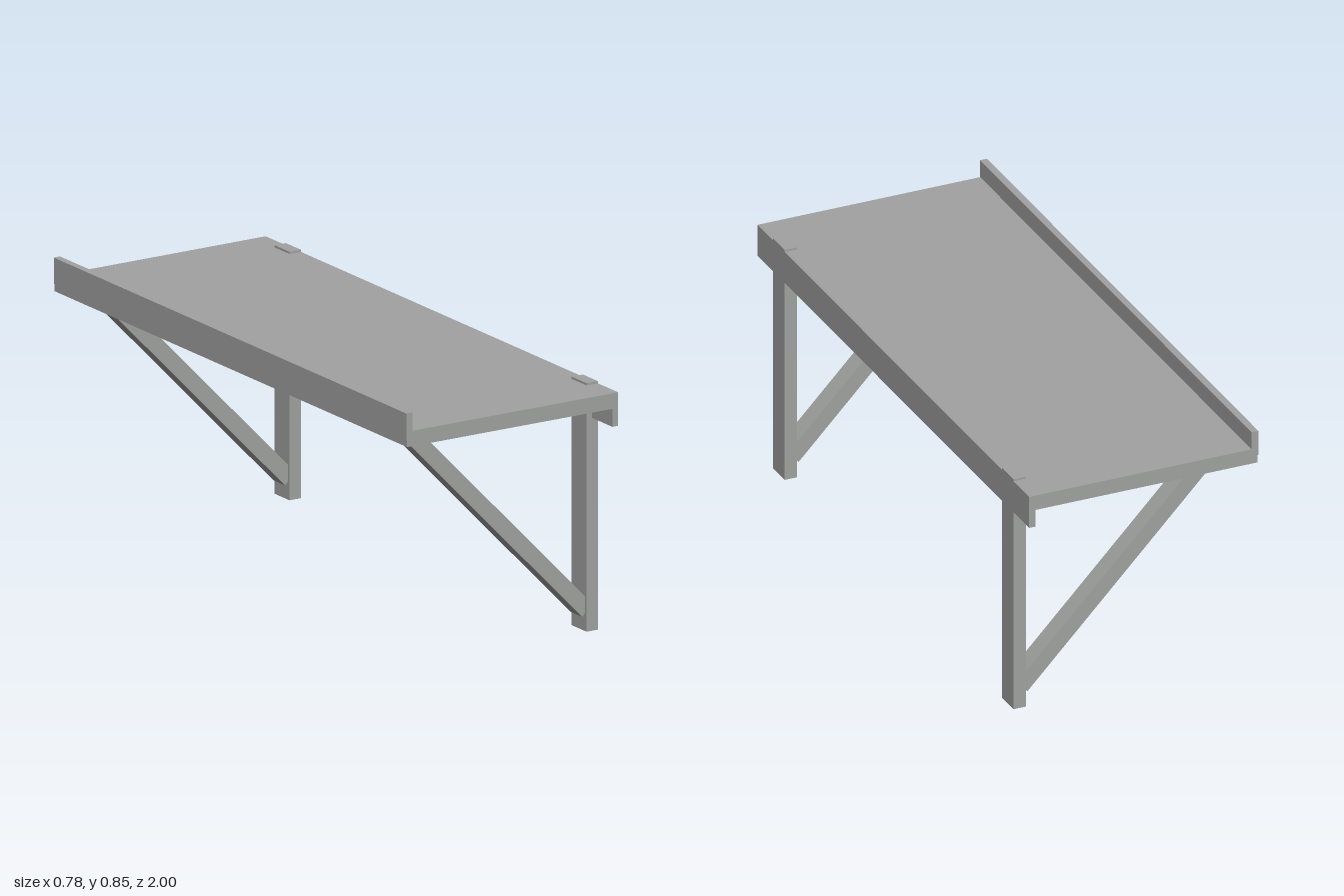
import * as THREE from 'three';

export function createModel() {
  const model = new THREE.Group();
  model.name = 'foldingTable';
  const grey = new THREE.MeshStandardMaterial({ color: 0xa0a2a0 });
  grey.name = 'grey';

  // Box given by its lower and upper corner
  function box(name, [x0, y0, z0], [x1, y1, z1]) {
    const mesh = new THREE.Mesh(new THREE.BoxGeometry(x1 - x0, y1 - y0, z1 - z0), grey);
    mesh.position.set((x0 + x1) / 2, (y0 + y1) / 2, (z0 + z1) / 2);
    mesh.name = name;
    model.add(mesh);
    return mesh;
  }

  // Top board with a raised lip on one long edge and an apron on the other
  box('tableTop', [-0.388, 0.745, -1], [0.39, 0.795, 1]);
  box('edgeLip', [-0.391, 0.77, -1], [-0.368, 0.854, 1]);
  box('apron', [0.368, 0.687, -1], [0.39, 0.795, 1]);

  // Diagonal brace runs from low on the leg to the underside of the top
  const low = new THREE.Vector2(0.357, 0.0655);
  const high = new THREE.Vector2(-0.293, 0.7385);
  const run = high.clone().sub(low);

  for (const side of [1, -1]) {
    const prefix = side > 0 ? 'front' : 'back';
    const z = side * 0.8425;
    // Leg pokes slightly through the top
    box(prefix + 'Leg', [0.348, 0, z - 0.0425], [0.39, 0.802, z + 0.0425]);

    const brace = new THREE.Mesh(new THREE.BoxGeometry(run.length(), 0.053, 0.066), grey);
    brace.position.set((low.x + high.x) / 2, (low.y + high.y) / 2, z);
    brace.rotation.z = run.angle();
    brace.name = prefix + 'Brace';
    model.add(brace);
  }
  return model;
}
